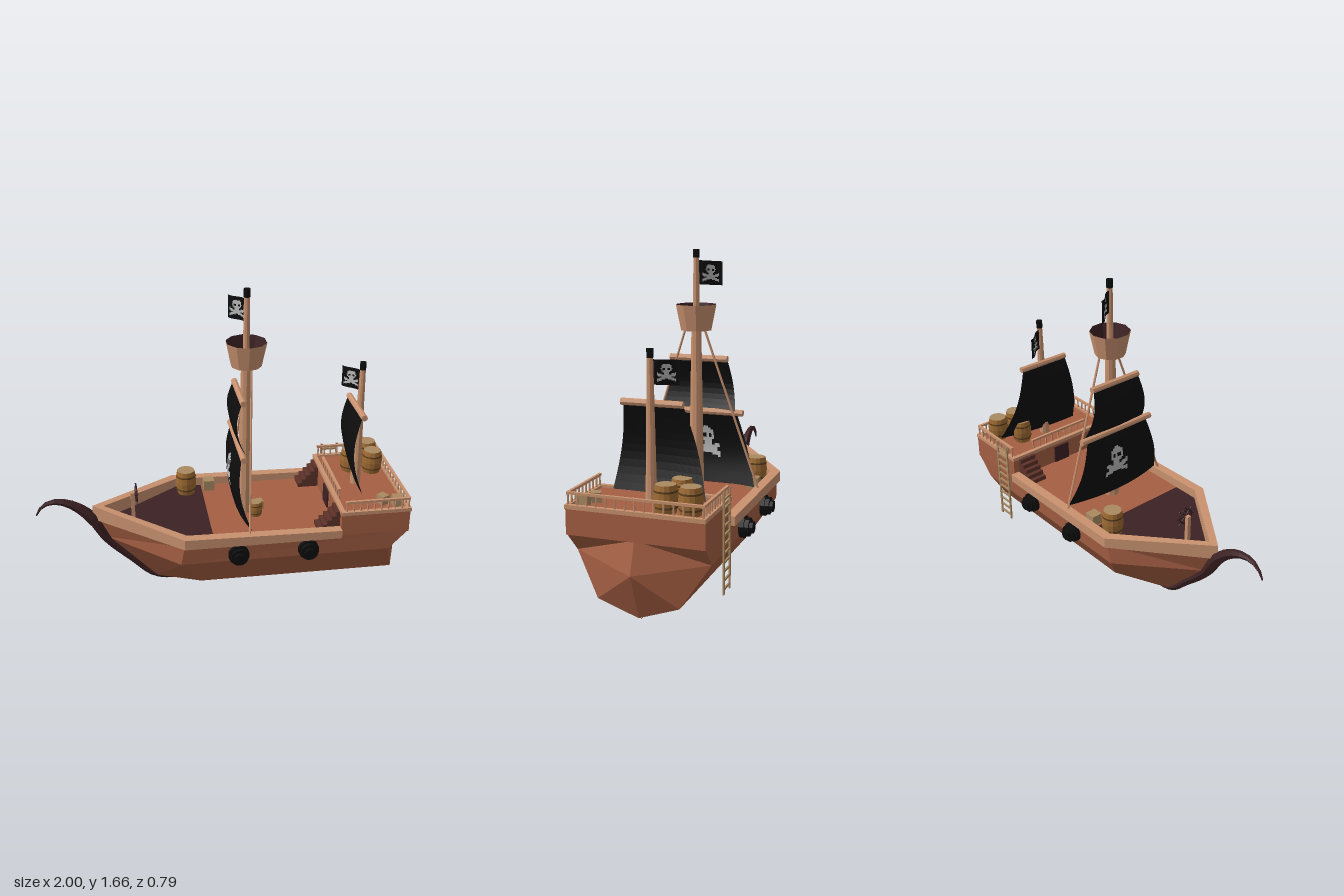
import * as THREE from 'three';

const mat = (name, color, side = THREE.FrontSide) =>
  new THREE.MeshStandardMaterial({ name, color, side, flatShading: true });

export function createModel() {
  const ship = new THREE.Group();
  ship.name = 'sailingShip';
  const plank = mat('hullWood', 0xa55f43, THREE.DoubleSide);
  const tan = mat('paleWood', 0xc9926f);
  const dark = mat('darkWood', 0x3c2123);
  const step = mat('stairWood', 0x5e3229);
  const oak = mat('barrelWood', 0x9e6a32);
  const hoop = mat('barrelHoop', 0x5c4020);
  const lid = mat('crateWood', 0xa98a62);
  const black = mat('blackCloth', 0x0d0d0e, THREE.DoubleSide);
  const pale = mat('paleEmblem', 0xb9b9b9, THREE.DoubleSide);

  const add = (name, geo, material, x = 0, y = 0, z = 0, parent = ship) => {
    const m = new THREE.Mesh(geo, material);
    m.name = name;
    m.position.set(x, y, z);
    parent.add(m);
    return m;
  };
  const box = (name, m, w, h, d, x, y, z) => add(name, new THREE.BoxGeometry(w, h, d), m, x, y, z);
  const cyl = (r1, r2, h, n = 10, open = false) => new THREE.CylinderGeometry(r1, r2, h, n, 1, open);
  const beam = (name, a, b, r, m = tan, n = 6) => {
    const p = new THREE.Vector3(...a), q = new THREE.Vector3(...b), d = q.clone().sub(p);
    const mesh = add(name, cyl(r, r, d.length(), n), m);
    mesh.position.copy(p).add(q).multiplyScalar(0.5);
    mesh.quaternion.setFromUnitVectors(new THREE.Vector3(0, 1, 0), d.normalize());
    return mesh;
  };
  const outline = pts => new THREE.Shape(pts.map(p => new THREE.Vector2(...p)));
  const slab = (pts, h) =>
    new THREE.ExtrudeGeometry(outline(pts), { depth: h, bevelEnabled: false }).rotateX(-Math.PI / 2);

  // Hull: chined half panels, mirrored across z
  const G0 = [-0.69, 0.43, 0], G1 = [-0.24, 0.41, 0.338], G2 = [0.95, 0.41, 0.335];
  const M0 = [-0.63, 0.3, 0], M1 = [-0.26, 0.3, 0.33], M2 = [0.85, 0.3, 0.33];
  const K0 = [-0.37, 0.025, 0], C1 = [-0.14, 0.1, 0.2], C2 = [0.915, 0.1, 0.2], K2 = [0.91, 0.028, 0];
  const S0 = [0.95, 0.41, 0], S1 = [1, 0.26, 0];
  const panels = [[M0, M1, G1, G0], [K0, C1, M1, M0], [M1, M2, G2, G1], [C1, C2, M2, M1],
    [K0, K2, C2, C1], [M2, S1, S0, G2], [C2, K2, S1, M2]];
  const verts = [];
  for (const [a, b, c, d] of panels) {
    for (const t of [[a, b, c], [a, c, d]]) {
      verts.push(...t.flat());
      verts.push(...[...t].reverse().map(([x, y, z]) => [x, y, -z]).flat());
    }
  }
  const hull = new THREE.BufferGeometry();
  hull.setAttribute('position', new THREE.Float32BufferAttribute(verts, 3));
  hull.computeVertexNormals();
  add('hull', hull, plank);

  // Decks, bulwark rail and raised stern deck
  add('mainDeck', slab([[-0.08, -0.33], [0.6, -0.33], [0.6, 0.33], [-0.08, 0.33]], 0.01), plank, 0, 0.4, 0);
  add('foreDeck', slab([[-0.66, 0], [-0.23, -0.33], [-0.08, -0.33], [-0.08, 0.33], [-0.23, 0.33]], 0.01), dark, 0, 0.4, 0);
  const rail = slab([[0.585, 0.355], [-0.24, 0.355], [-0.7, 0], [-0.24, -0.355], [0.585, -0.355],
    [0.585, -0.305], [-0.225, -0.305], [-0.64, 0], [-0.225, 0.305], [0.585, 0.305]], 1);
  const rp = rail.attributes.position;
  for (let i = 0; i < rp.count; i++) {
    const x = rp.getX(i), rise = Math.max(0, -0.24 - x);
    rp.setY(i, rp.getY(i) > 0.5 ? 0.452 - 0.015 * Math.min(1, x + 0.24) + 0.07 * rise + 0.008 : 0.403 + 0.03 * rise);
  }
  add('bulwarkRail', rail, tan);
  box('sternCabin', plank, 0.368, 0.13, 0.67, 0.768, 0.467, 0);
  for (const s of [-1, 1]) box('sternTrimSide', tan, 0.375, 0.02, 0.022, 0.77, 0.535, s * 0.327);
  for (const x of [0.592, 0.947]) box('sternTrimEnd', tan, 0.022, 0.02, 0.64, x, 0.535, 0);
  box('cabinDoor', dark, 0.008, 0.1, 0.1, 0.581, 0.46, 0);

  // Stairs up to the stern deck
  for (const s of [-1, 1]) {
    for (let i = 0; i < 5; i++) {
      const h = 0.024 * (i + 1);
      box('stairStep', step, 0.023, h, 0.1, 0.482 + 0.023 * i, 0.41 + h / 2, s * 0.25);
    }
  }

  // Balustrade around the stern deck
  const post = (x, z) => add('baluster', cyl(0.005, 0.005, 0.055, 5), tan, x, 0.57, z);
  for (const s of [-1, 1]) {
    for (let i = 0; i <= 9; i++) post(0.61 + i * 0.037, s * 0.325);
    box('handrailSide', tan, 0.345, 0.012, 0.014, 0.775, 0.598, s * 0.325);
  }
  for (let i = 1; i < 14; i++) post(0.943, -0.325 + i * 0.0464);
  for (let i = 0; i < 9; i++) post(0.605, -0.18 + i * 0.045);
  box('handrailStern', tan, 0.014, 0.012, 0.66, 0.943, 0.598, 0);
  box('handrailFront', tan, 0.014, 0.012, 0.38, 0.605, 0.598, 0);

  // Curved prow, stem and keel as one tapered tube
  const path = new THREE.CatmullRomCurve3([[-0.997, 0.465], [-0.96, 0.52], [-0.89, 0.54], [-0.8, 0.51], [-0.7, 0.42],
    [-0.63, 0.3], [-0.5, 0.16], [-0.365, 0.034], [-0.15, 0.018], [0.2, 0.023], [0.9, 0.034]]
    .map(([x, y]) => new THREE.Vector3(x, y, 0)));
  const prow = new THREE.TubeGeometry(path, 48, 1, 6), pp = prow.attributes.position, v = new THREE.Vector3();
  for (let i = 0; i < pp.count; i++) {
    const t = Math.floor(i / 7) / 48, c = path.getPointAt(t);
    const r = t < 0.17 ? 0.004 + 0.18 * t : Math.max(0.015, 0.0346 - 0.07 * (t - 0.17));
    v.fromBufferAttribute(pp, i).sub(c).multiplyScalar(r).add(c);
    pp.setXYZ(i, v.x, Math.max(0, v.y), v.z);
  }
  prow.computeVertexNormals();
  add('prowAndKeel', prow, dark);

  // Cannons through the sides
  for (const x of [0.04, 0.41]) {
    for (const s of [-1, 1]) {
      for (const [r, z] of [[0.055, 0.345], [0.046, 0.367], [0.03, 0.384]]) {
        add('cannon', cyl(r, r, 0.024, 14).rotateX(Math.PI / 2), black, x, 0.345, s * z);
      }
    }
  }

  // Masts, crow's nest, yards and shrouds
  const mast = (name, x, y0, y1, r0, r1) => {
    add(name, cyl(r1, r0, y1 - y0, 10), tan, x, (y0 + y1) / 2, 0);
  };
  mast('mainMast', 0.125, 0.4, 1.28, 0.042, 0.026);
  mast('topMast', 0.125, 1.27, 1.63, 0.018, 0.015);
  mast('mizzenMast', 0.743, 0.53, 1.21, 0.028, 0.015);
  add('mainMastCap', cyl(0.018, 0.018, 0.042, 8), black, 0.125, 1.643, 0);
  add('mizzenMastCap', cyl(0.017, 0.017, 0.042, 8), black, 0.743, 1.222, 0);
  add('crowsNest', cyl(0.107, 0.08, 0.13, 10, true), tan, 0.125, 1.325, 0);
  add('crowsNestInside', cyl(0.105, 0.078, 0.13, 10, true).scale(-1, 1, 1), dark, 0.125, 1.325, 0);
  add('crowsNestFloor', cyl(0.08, 0.08, 0.012, 10), dark, 0.125, 1.267, 0);
  for (const [x, y, w] of [[0.088, 1.112, 0.155], [0.08, 0.835, 0.237], [0.724, 0.99, 0.152]]) {
    beam('yard', [x, y, -w], [x, y, w], 0.017, tan, 8);
  }
  for (const s of [-1, 1]) beam('shroud', [0.145, 1.27, s * 0.05], [0.1, 0.44, s * 0.33], 0.006);

  // Cloth: a curved grid; cells inside the painted emblem are pale
  const emblem = (a, b) => {
    const skull = a * a + (b - 0.35) ** 2 < 0.22 && !((Math.abs(a) - 0.19) ** 2 + (b - 0.3) ** 2 < 0.014);
    const jaw = Math.abs(a) < 0.25 && b > -0.3 && b < 0.1;
    const bones = Math.abs(a) < 0.8 && Math.abs(Math.abs(b + 0.45) - 0.35 * Math.abs(a)) < 0.14;
    return skull || jaw || bones;
  };
  const cloth = (name, n, pos, paint = () => false) => {
    const geo = new THREE.PlaneGeometry(2, 2, n, n), p = geo.attributes.position, cells = [[], []];
    for (let j = 0; j < n; j++) {
      for (let i = 0; i < n; i++) {
        const u = (2 * i + 1) / n - 1, w = 1 - (2 * j + 1) / n, k = (j * n + i) * 6;
        for (let q = 0; q < 6; q++) cells[paint(u, w) ? 1 : 0].push(geo.index.array[k + q]);
      }
    }
    for (let i = 0; i < p.count; i++) p.setXYZ(i, ...pos(p.getX(i), (1 - p.getY(i)) / 2));
    geo.setIndex([...cells[0], ...cells[1]]);
    geo.addGroup(0, cells[0].length, 0);
    geo.addGroup(cells[0].length, cells[1].length, 1);
    geo.computeVertexNormals();
    add(name, geo, [black, pale]);
  };
  const sail = (top, bottom, bulge, curl) => (u, t) => {
    const mix = i => top[i] + (bottom[i] - top[i]) * t;
    return [mix(0) - bulge * Math.sin(Math.PI * t) + curl * u * u * t - (bottom[3] || 0) * u * t,
      mix(1), u * mix(2) - (bottom[4] || 0) * t];
  };
  cloth('upperSail', 10, sail([0.08, 1.11, 0.15], [0.08, 0.845, 0.2], 0.035, 0.015));
  cloth('lowerSail', 36, sail([0.075, 0.835, 0.2], [0.07, 0.46, 0.31], 0.035, 0.045),
    (u, w) => emblem((u + 0.12) / 0.36, (w - 0.12) / 0.52));
  cloth('mizzenSail', 12, sail([0.715, 0.99, 0.145, 0, 0], [0.735, 0.57, 0.24, 0.03, 0.04], 0.045, 0.02));
  const flag = (x, y, h) => (u, t) => {
    const d = (u + 1) / 2;
    return [x - 0.066 * d + 0.008 * Math.sin(d * 6), y - h * t - 0.008 * d, -0.012 - 0.102 * d];
  };
  const flagPaint = (u, w) => emblem(u / 0.8, w / 0.85);
  cloth('mainFlag', 24, flag(0.117, 1.61, 0.12), flagPaint);
  cloth('mizzenFlag', 24, flag(0.734, 1.193, 0.115), flagPaint);

  // Barrels and crates
  const barrel = (x, y, z, r, h) => {
    const g = new THREE.Group();
    g.name = 'barrel';
    g.position.set(x, y, z);
    ship.add(g);
    const prof = [[0.84, 0], [0.95, 0.25], [1, 0.5], [0.95, 0.75], [0.84, 1]];
    add('barrelStaves', new THREE.LatheGeometry(prof.map(([a, b]) => new THREE.Vector2(a * r, b * h)), 14), oak, 0, 0, 0, g);
    add('barrelLid', cyl(r * 0.83, r * 0.83, 0.006, 14), lid, 0, h - 0.004, 0, g);
    for (const t of [0.22, 0.78]) add('barrelHoop', cyl(r * 0.975, r * 0.975, h * 0.07, 14, true), hoop, 0, h * t, 0, g);
  };
  barrel(-0.17, 0.41, -0.24, 0.058, 0.14);
  barrel(0.175, 0.41, 0.06, 0.038, 0.08);
  barrel(0.87, 0.532, -0.24, 0.057, 0.13);
  barrel(0.87, 0.532, -0.122, 0.057, 0.13);
  barrel(0.752, 0.532, -0.155, 0.055, 0.13);
  for (const [x, y, z, s, a] of [[-0.04, 0.41, -0.262, 0.06, 0], [0.205, 0.41, -0.01, 0.045, 0.2],
    [0.898, 0.532, 0.27, 0.052, 0], [0.827, 0.532, 0.24, 0.048, 0.5]]) {
    box('crate', lid, s, s, s, x, y + s / 2, z).rotation.y = a;
  }

  // Steering wheel on its post
  box('wheelPost', tan, 0.02, 0.16, 0.022, -0.483, 0.485, 0);
  beam('wheelAxle', [-0.49, 0.555, 0], [-0.455, 0.555, 0], 0.01, dark);
  add('wheelRim', new THREE.TorusGeometry(0.04, 0.006, 5, 16).rotateY(Math.PI / 2), dark, -0.463, 0.555, 0);
  for (let i = 0; i < 4; i++) {
    const a = i * Math.PI / 4, c = 0.06 * Math.cos(a), s = 0.06 * Math.sin(a);
    beam('wheelSpoke', [-0.463, 0.555 - s, -c], [-0.463, 0.555 + s, c], 0.004, dark, 5);
  }

  // Boarding ladder on the far side
  for (const x of [0.635, 0.725]) box('ladderRail', lid, 0.012, 0.49, 0.008, x, 0.36, -0.345);
  for (let i = 0; i < 11; i++) box('ladderRung', lid, 0.09, 0.01, 0.008, 0.68, 0.14 + i * 0.043, -0.345);

  return ship;
}
